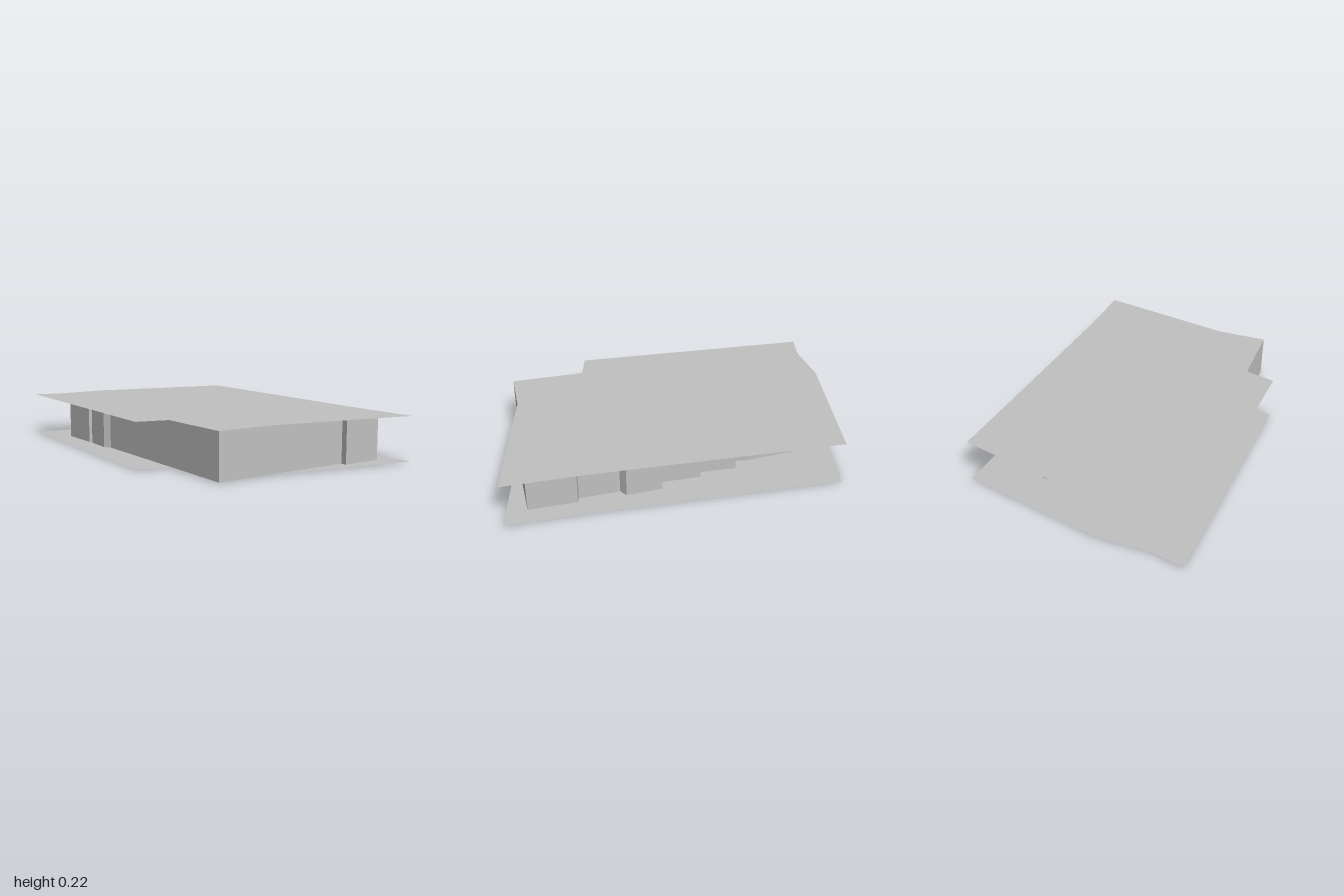
import * as THREE from 'three';

const FLOOR_Y = 0.004, ROOF_Y = 0.218;

// Slab outline as [x, z]
const slabOutline = [
  [-1, 0.372], [0.206, 0.692], [0.275, 0.553], [0.644, 0.628], [0.698, 0.377],
  [0.998, -0.302], [0.633, -0.382], [-0.58, -0.698], [-0.88, -0.024], [-0.933, 0.233],
];

// Facade line as [x, z]: front, +x side, stepped back, -x side
const facade = [
  [-0.73, 0.335], [-0.505, 0.385], [-0.488, 0.33], [-0.475, 0.39], [-0.33, 0.43], [-0.295, 0.415],
  [0.644, 0.628],
  [0.79, -0.045], [0.821, -0.035], [0.86, -0.235],
  [0.63, -0.283], [0.615, -0.255], [0.435, -0.29], [0.418, -0.29],
  [0.404, -0.335], [0.228, -0.362], [0.215, -0.31], [0.017, -0.355],
  [0, -0.32], [-0.175, -0.366], [-0.2, -0.3], [-0.26, -0.33], [-0.52, -0.366],
  [-0.555, -0.07], [-0.47, -0.05], [-0.54, 0.265], [-0.7, 0.235],
];

// Inner partitions as [x1, z1, x2, z2]: two spines and five cross walls
const partitions = [
  [0.519, 0.176, 0.118, 0.069], [-0.037, 0.075, -0.231, 0.019],
  [0.519, 0.21, 0.476, 0.398], [0.34, 0.14, 0.293, 0.336], [0.15, 0.13, 0.094, 0.305],
  [-0.037, 0.075, -0.1, 0.25], [-0.231, 0.019, -0.274, 0.196],
];

// Closed ribbon of flat vertical panels standing between floor and roof
function wallRibbon(points) {
  const pos = [];
  points.forEach(([x1, z1], i) => {
    const [x2, z2] = points[(i + 1) % points.length];
    pos.push(x1, FLOOR_Y, z1, x2, FLOOR_Y, z2, x2, ROOF_Y, z2);
    pos.push(x1, FLOOR_Y, z1, x2, ROOF_Y, z2, x1, ROOF_Y, z1);
  });
  const geo = new THREE.BufferGeometry();
  geo.setAttribute('position', new THREE.Float32BufferAttribute(pos, 3));
  geo.computeVertexNormals();
  return geo;
}

export function createModel() {
  const grey = new THREE.MeshStandardMaterial({ color: 0xc0c0c0 });
  grey.name = 'grey';
  grey.side = THREE.DoubleSide;

  const model = new THREE.Group();
  model.name = 'buildingStorey';
  const add = (geo, name) => {
    const mesh = new THREE.Mesh(geo, grey);
    mesh.name = name;
    model.add(mesh);
    return mesh;
  };

  // Floor and roof sheets
  const shape = new THREE.Shape(slabOutline.map(([x, z]) => new THREE.Vector2(x, -z)));
  const slab = new THREE.ShapeGeometry(shape).rotateX(-Math.PI / 2);
  add(slab, 'floorSlab').position.y = FLOOR_Y;
  add(slab, 'roofSlab').position.y = ROOF_Y;

  // Outer walls
  add(wallRibbon(facade), 'outerWalls');

  // Thin inner walls, their feet just below the floor sheet
  partitions.forEach(([x1, z1, x2, z2], i) => {
    const length = Math.hypot(x2 - x1, z2 - z1);
    const wall = add(new THREE.BoxGeometry(length, ROOF_Y - 0.002, 0.004), `partition${i + 1}`);
    wall.position.set((x1 + x2) / 2, (ROOF_Y - 0.002) / 2, (z1 + z2) / 2);
    wall.rotation.y = -Math.atan2(z2 - z1, x2 - x1);
  });

  return model;
}
